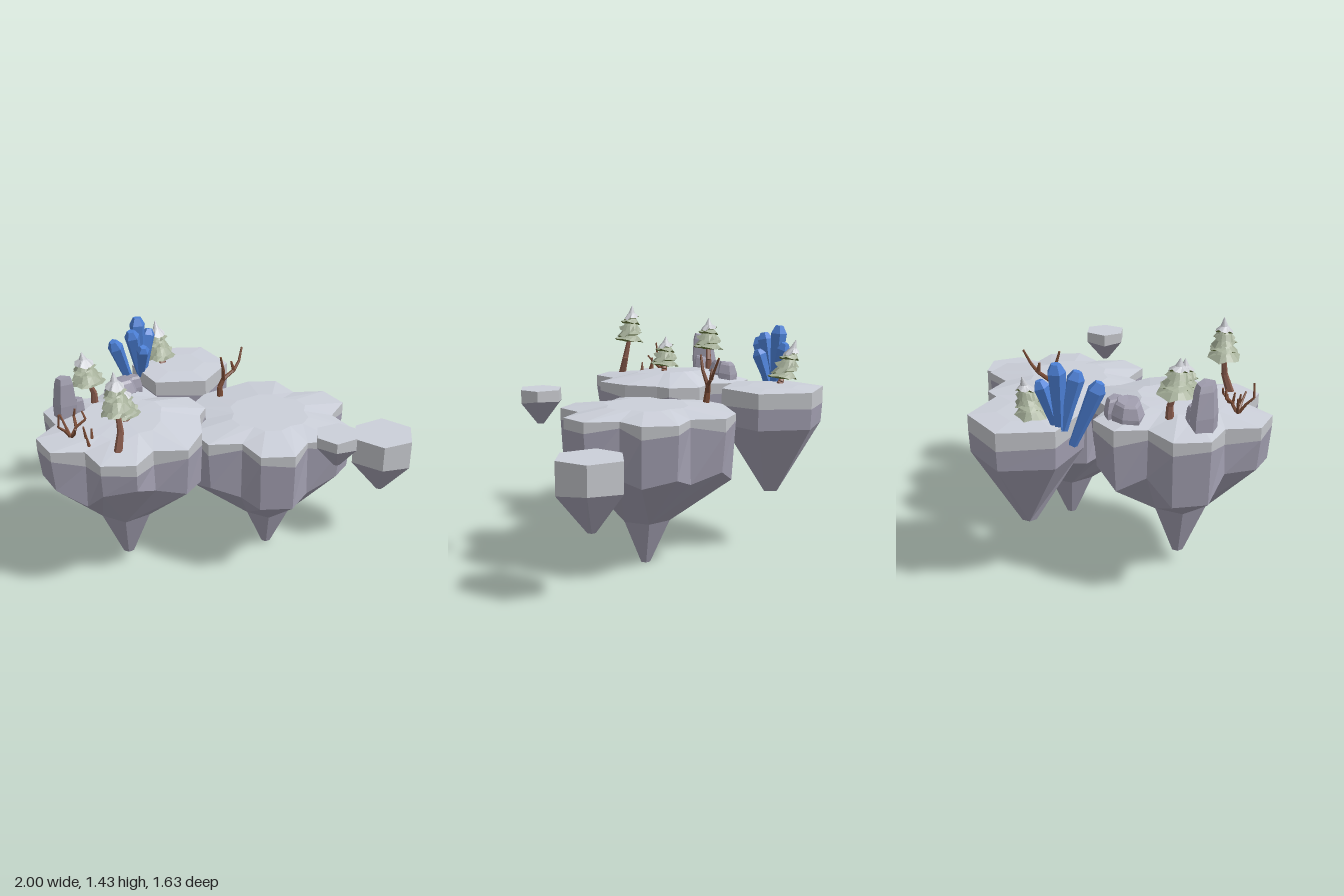
import * as THREE from 'three';

const mat = (name, color) => {
  const m = new THREE.MeshStandardMaterial({ color, flatShading: true });
  m.name = name;
  return m;
};

export function createModel() {
  const M = {
    ground: mat('pale ground', 0xcbcfd9),
    edge: mat('grey stone edge', 0xc2c4c9),
    rock: mat('violet rock', 0xa09dae),
    sage: mat('frosted needles', 0xa5af99),
    pine: mat('dark needles', 0x6f8042),
    snow: mat('snow', 0xcbcdd3),
    bark: mat('bark', 0x875a4b),
    wood: mat('dead wood', 0x7a4b35),
    blue: mat('blue crystal', 0x4c80d6),
  };
  const root = new THREE.Group();
  const V = (p) => new THREE.Vector3(...p);
  const group = (name) => {
    const g = new THREE.Group();
    g.name = name;
    root.add(g);
    return g;
  };
  const add = (parent, name, geo, material) => {
    const m = new THREE.Mesh(geo, material);
    m.name = name;
    parent.add(m);
    return m;
  };

  // faceted skin through rings ordered top to bottom, each clockwise from above
  function loft(rings, top, bottom) {
    const pos = [];
    const tri = (...ps) => ps.forEach((p) => pos.push(...p));
    const mid = (r) => [0, 1, 2].map((k) => r.reduce((s, p) => s + p[k], 0) / r.length);
    const n = rings[0].length;
    for (let i = 0; i < n; i++) {
      const j = (i + 1) % n;
      for (let k = 0; k + 1 < rings.length; k++) {
        const a = rings[k], b = rings[k + 1];
        tri(a[i], a[j], b[j], a[i], b[j], b[i]);
      }
      if (top) tri(mid(rings[0]), rings[0][j], rings[0][i]);
      const last = rings[rings.length - 1];
      if (bottom) tri(mid(last), last[i], last[j]);
    }
    const g = new THREE.BufferGeometry();
    g.setAttribute('position', new THREE.Float32BufferAttribute(pos, 3));
    g.computeVertexNormals();
    return g;
  }
  const circle = (c, r, n, f = () => [1, 0]) => Array.from({ length: n }, (_, i) => {
    const a = (i / n) * Math.PI * 2, [s, dy] = f(i);
    return [c[0] + Math.cos(a) * r * s, c[1] + dy, c[2] + Math.sin(a) * r * s];
  });

  // tapered rod between two points
  function rod(parent, name, a, b, ra, rb, material, sides = 6) {
    const A = V(a), d = V(b).sub(A);
    const g = new THREE.CylinderGeometry(rb, ra, d.length(), sides);
    g.translate(0, d.length() / 2, 0);
    const m = add(parent, name, g, material);
    m.position.copy(A);
    m.quaternion.setFromUnitVectors(new THREE.Vector3(0, 1, 0), d.normalize());
  }
  function branch(parent, name, pts, r0, r1, material) {
    const n = pts.length - 1;
    for (let i = 0; i < n; i++)
      rod(parent, name, pts[i], pts[i + 1], r0 + (r1 - r0) * i / n, r0 + (r1 - r0) * (i + 1) / n, material);
  }

  // floating island: raised sloping top, stone rim, rocky flanks, six-sided hanging tip
  function island(name, outline, o) {
    const g = group(name), [cx, cz] = o.tip;
    const mean = outline.reduce((s, [x, z]) => s + Math.hypot(x - cx, z - cz), 0) / outline.length;
    const ring = (f, snap) => outline.map(([x, z], i) => {
      const [r, y] = f(Math.hypot(x - cx, z - cz), i);
      let a = Math.atan2(z - cz, x - cx);
      if (snap) a = Math.round(a / (Math.PI / 3)) * (Math.PI / 3);
      return [cx + Math.cos(a) * r, y, cz + Math.sin(a) * r];
    });
    const inner = ring((R, i) => [(R + mean) * 0.25, o.top - (o.slope || 0) * (outline[i][1] - cz)]);
    const rim = ring((R) => [R, o.rim]);
    const band = ring((R, i) => [R, o.band + 0.02 * Math.sin(i * 2.3) * o.rough]);
    const rings = [band];
    if (o.flank) rings.push(ring((R, i) => [(R + (mean - R) * 0.2) * 0.98, o.flank[i % o.flank.length]]));
    if (o.neck) rings.push(ring(() => [o.neckR, o.neck], true));
    rings.push(ring(() => [o.tipR, o.low], true));
    add(g, 'islandTop', loft([inner, rim], true, false), M.ground);
    add(g, 'islandRim', loft([rim, band]), M.edge);
    add(g, 'islandRock', loft(rings, false, true), M.rock);
  }
  island('frontIsland', [[-1, .225], [-.82, .12], [-.82, -.06], [-.655, -.155], [-.49, -.06], [-.32, -.15],
    [-.155, -.06], [-.14, .04], [-.03, .22], [0, .44], [-.17, .535], [-.17, .715], [-.34, .81], [-.505, .715],
    [-.67, .81], [-.84, .71], [-.84, .52], [-1, .42]],
  { tip: [-.5, .34], top: 1.018, slope: .04, rim: .973, band: .9, neck: .39, neckR: .165, low: .08, tipR: .035,
    rough: 1, flank: [.6, .7, .62, .7, .62, .68, .7, .66, .64, .68, .72, .8, .77, .62, .72, .73, .72, .61] });
  island('rightIsland', [[-.32, -.36], [-.15, -.65], [.01, -.74], [.18, -.64], [.345, -.74], [.515, -.64],
    [.515, -.45], [.68, -.35], [.68, -.16], [.515, -.06], [.515, .12], [.345, .22], [.18, .12], [.01, .22],
    [-.15, .12], [-.15, -.06], [-.32, -.17]],
  { tip: [.18, -.25], top: .935, rim: .9, band: .845, neck: .265, neckR: .15, low: 0, tipR: .03, rough: 1,
    flank: [.56, .52, .6, .54, .6, .56, .58, .64, .66, .56, .54, .54, .54, .6, .53, .55, .55] });
  island('backIsland', [[-.585, -.82], [-.31, -.665], [-.31, -.36], [-.58, -.195], [-.855, -.36], [-.855, -.665]],
    { tip: [-.58, -.51], top: 1.005, rim: .995, band: .9, flank: [.78], low: .36, tipR: .045, rough: .4 });
  island('lowFloatingRock', [[.735, -.78], [.935, -.745], [1, -.56], [.875, -.415], [.665, -.445], [.62, -.615]],
    { tip: [.81, -.6], top: .775, rim: .775, band: .605, low: .38, tipR: .025, rough: .6 });
  island('highFloatingRock', [[.675, -.11], [.8, -.09], [.835, .02], [.76, .13], [.635, .11], [.59, -.005]],
    { tip: [.72, .01], top: 1.045, rim: 1.045, band: .98, low: .85, tipR: .02, rough: .5 });

  // snowy pines: bent trunk, ragged drooping skirts with dark undersides, pointed snow cap
  function pine(base, low, tip, r, tiers = 5) {
    const g = group('pineTree'), a = V(base), b = V(low), c = V(tip);
    const bend = a.clone().lerp(b, 0.5).add(new THREE.Vector3(0.01, 0, -0.012));
    branch(g, 'trunk', [base, bend.toArray(), low, b.clone().lerp(c, 0.7).toArray()], 0.024, 0.008, M.bark);
    for (let k = 0; k < tiers; k++) {
      const cap = k === tiers - 1, t = cap ? 0.64 : k * 0.165;
      const p = b.clone().lerp(c, t), R = r * (1 - 0.7 * t);
      const up = cap ? c : b.clone().lerp(c, t + 0.26);
      const rag = (i) => [1 + 0.08 * Math.sin(i * 2.6 + k * 1.7),
        0.007 * Math.sin(i * 2.1 + k * 2) + 0.012 * Math.cos(i * Math.PI / 7 + k * 2.2)];
      const rim = circle(p.toArray(), R, 14, rag);
      const waist = circle(p.clone().lerp(up, 0.4).toArray(), R * (cap ? 0.42 : 0.66), 14);
      const peak = circle(up.toArray(), cap ? 0.002 : R * 0.2, 14);
      const inside = circle([p.x, p.y - 0.006, p.z], R * 0.35, 14);
      add(g, cap ? 'snowCap' : 'skirt', loft([peak, waist, rim], true), cap ? M.snow : M.sage);
      add(g, 'skirtUnderside', loft([rim, inside], false, true), M.pine);
    }
  }
  pine([-.33, .98, .645], [-.35, 1.205, .595], [-.37, 1.435, .585], .092);
  pine([-.46, 1.0, .36], [-.465, 1.055, .36], [-.475, 1.24, .36], .095);
  pine([-.75, 1.0, .24], [-.765, 1.155, .265], [-.785, 1.35, .285], .1);
  pine([-.69, .99, -.46], [-.7, 1.04, -.475], [-.765, 1.265, -.52], .09);

  // bare tree on the right island
  const bare = group('bareTree');
  [
    [[-.2, .92, -.345], [-.205, .98, -.35], [-.19, 1.03, -.37]],
    [[-.19, 1.03, -.37], [-.15, 1.07, -.44], [-.135, 1.12, -.48], [-.135, 1.2, -.52]],
    [[-.19, 1.02, -.37], [-.175, 1.11, -.34], [-.18, 1.2, -.315]],
    [[-.15, 1.07, -.44], [-.165, 1.13, -.43]],
  ].forEach((p, i) => branch(bare, 'branch', p, i ? .013 : .02, i ? .006 : .014, M.wood));

  // dead shrub and twigs on the front island
  const shrub = group('deadShrub');
  [
    [[-.66, .98, .62], [-.64, 1.04, .59], [-.6, 1.08, .55], [-.63, 1.12, .54]],
    [[-.66, .98, .62], [-.67, 1.04, .66], [-.68, 1.08, .7], [-.67, 1.16, .7]],
    [[-.66, .98, .62], [-.7, 1.04, .61], [-.74, 1.1, .6]],
    [[-.66, .98, .62], [-.61, 1.03, .65], [-.58, 1.08, .68]],
    [[-.64, 1.04, .59], [-.68, 1.08, .55], [-.67, 1.13, .55]],
    [[-.56, .98, .61], [-.57, 1.07, .62]],
    [[-.53, .98, .6], [-.54, 1.05, .585]],
    [[-.51, .98, .66], [-.52, 1.04, .665]],
  ].forEach((p) => branch(shrub, 'twig', p, .01, .005, M.wood));

  // standing stones and boulders
  const stone = (name, c, r, h, n, lean, tilt, taper) => {
    const f = (s) => (i) => [1 + 0.12 * Math.sin(i * 2.4 + s), 0.02 * s * Math.sin(i * 1.1 + 1)];
    const at = (t) => [c[0] + lean[0] * t, c[1] + h * t, c[2] + lean[1] * t];
    add(root, name, loft([circle(at(1), r * taper * 0.8, n, f(tilt)), circle(at(.88), r * taper, n, f(tilt)),
      circle(at(.4), r * 1.02, n, f(.4)), circle(at(0), r, n, f(0))], true, true), M.rock);
  };
  stone('standingStone', [-.85, .95, .4], .078, .28, 5, [.015, .01], .4, .8);
  stone('smallStone', [-.79, .97, .36], .045, .12, 5, [.01, 0], .3, .8);
  stone('boulder', [-.69, .97, .03], .095, .12, 7, [0, 0], .5, .78);
  stone('smallBoulder', [-.645, .98, -.04], .06, .115, 5, [0, 0], .3, .8);

  // crystal cluster: shafts that widen upward and end in blunt points
  const crystals = group('crystalCluster');
  [
    [[-.775, .97, -.335], [-.795, 1.34, -.35], .052],
    [[-.81, .9, -.27], [-.84, 1.25, -.13], .05],
    [[-.77, .97, -.32], [-.775, 1.29, -.24], .05],
    [[-.76, .96, -.315], [-.7, 1.19, -.26], .045],
    [[-.76, .97, -.35], [-.76, 1.24, -.435], .045],
  ].forEach(([a, b, r]) => {
    const s = V(a).lerp(V(b), 0.87).toArray();
    rod(crystals, 'crystalShaft', a, s, r * .5, r, M.blue, 5);
    rod(crystals, 'crystalPoint', s, b, r, r * .5, M.blue, 5);
  });
  return root;
}
